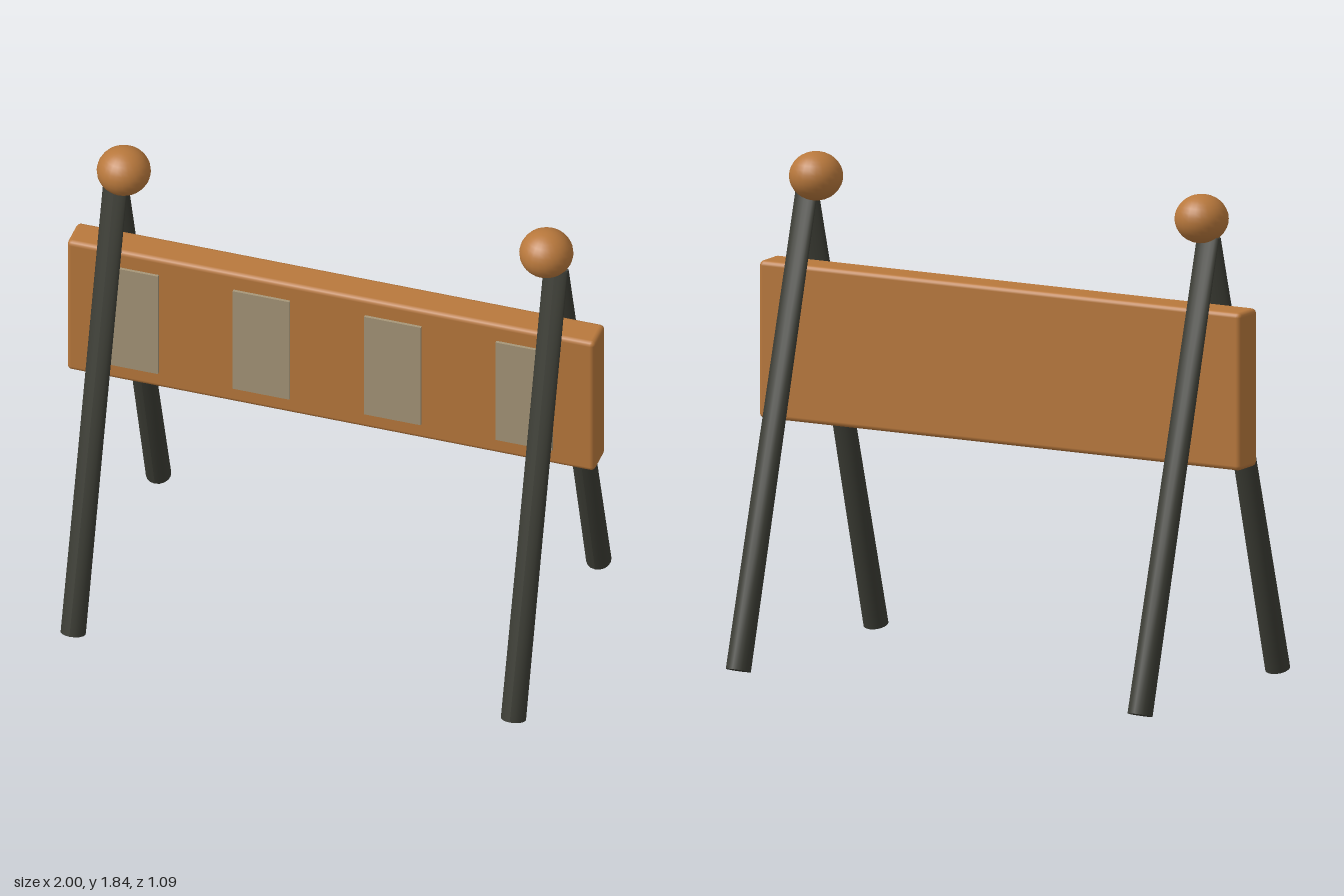
import * as THREE from 'three';
import { RoundedBoxGeometry } from 'three/addons/geometries/RoundedBoxGeometry.js';

const material = (name, color) => {
  const m = new THREE.MeshStandardMaterial({ color });
  m.name = name;
  return m;
};

// Round pole along y that keeps its width in x but thins towards the top in z
function legGeometry(length, radius, topDepth) {
  const geometry = new THREE.CylinderGeometry(radius, radius, length, 16, 4);
  const p = geometry.attributes.position;
  for (let i = 0; i < p.count; i++) {
    const t = p.getY(i) / length + 0.5;
    p.setZ(i, p.getZ(i) * THREE.MathUtils.lerp(1, topDepth, t));
  }
  geometry.computeVertexNormals();
  return geometry;
}

export function createModel() {
  const model = new THREE.Group();
  model.name = 'barrier';

  const orange = material('warm orange', 0xb8783c);
  const grey = material('dull beige', 0xa69678);
  const dark = material('dark grey', 0x3b3c34);

  const add = (name, geometry, mat, x, y, z) => {
    const mesh = new THREE.Mesh(geometry, mat);
    mesh.name = name;
    mesh.position.set(x, y, z);
    model.add(mesh);
    return mesh;
  };

  // Board with softened edges
  add('board', new RoundedBoxGeometry(2, 0.58, 0.13, 2, 0.018), orange, 0, 1.14, 0);

  // Four raised panels on the front
  const panel = new THREE.BoxGeometry(0.215, 0.44, 0.03);
  for (let i = 0; i < 4; i++) {
    add(`panel${i + 1}`, panel, grey, -0.758 + i * 0.498, 1.14, 0.061);
  }

  // A-frame legs, two at each end
  const foot = 0.5, footY = 0.014, topY = 1.685, topZ = 0.006;
  const run = foot - topZ, rise = topY - footY;
  const leg = legGeometry(Math.hypot(run, rise), 0.046, 0.26);
  const lean = Math.atan2(run, rise);
  for (const side of [1, -1]) {
    const label = side > 0 ? 'left' : 'right';
    for (const end of [1, -1]) {
      const mesh = add(`${label}${end > 0 ? 'Front' : 'Back'}Leg`, leg, dark,
        side * 0.834, (footY + topY) / 2, end * (foot + topZ) / 2);
      mesh.rotation.x = -end * lean;
    }
    // Slightly flattened ball lamp at the apex
    const ball = add(`${label}Lamp`, new THREE.SphereGeometry(0.098, 24, 16), orange,
      side > 0 ? 0.797 : -0.804, 1.75, 0);
    ball.scale.y = 0.91;
  }

  return model;
}
